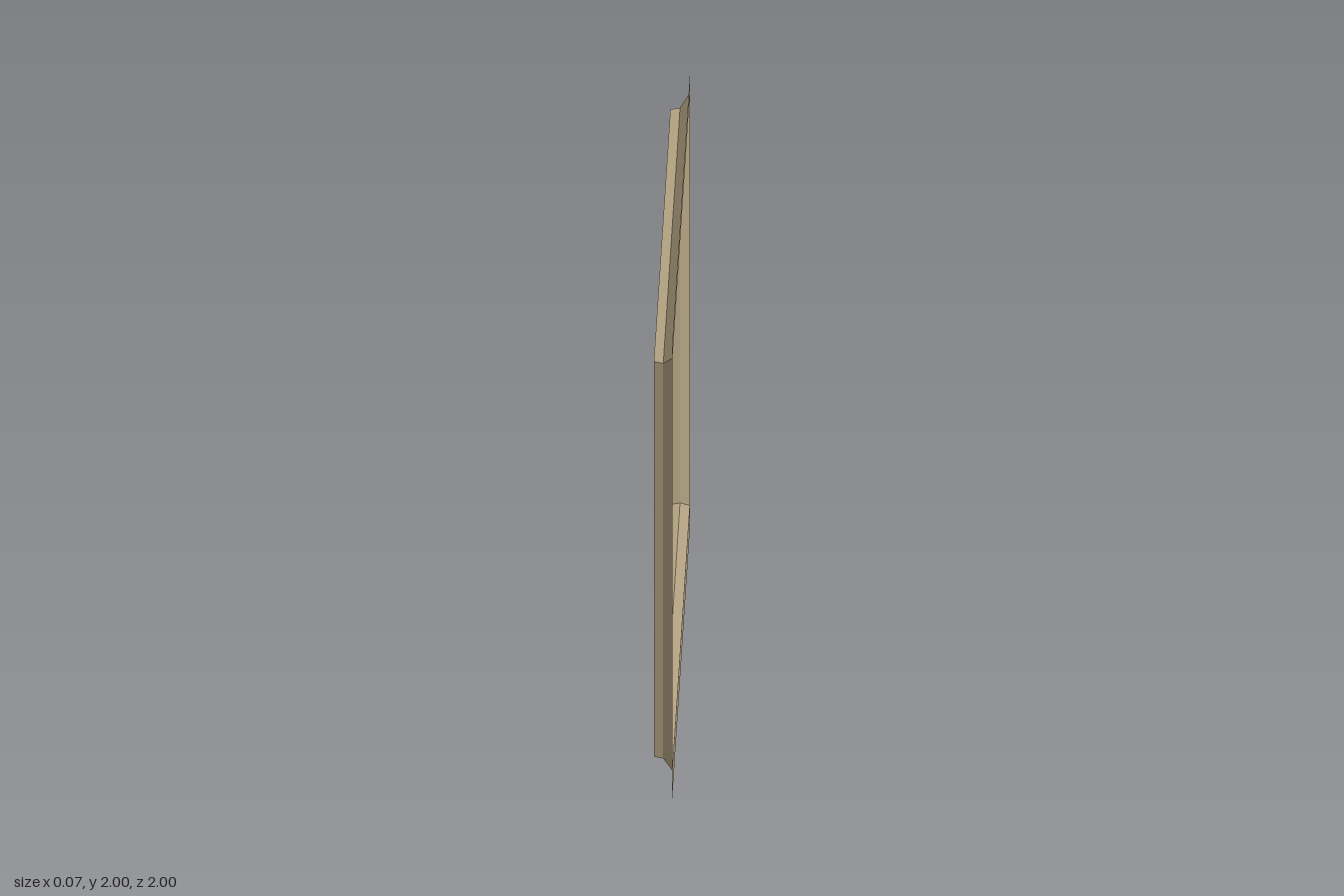
import * as THREE from 'three';

const material = new THREE.MeshStandardMaterial({
  color: 0xb3a382, flatShading: true, side: THREE.DoubleSide,
});

// Rectangular loop in the plane x, counter-clockwise as seen from +x
const loop = (x, y0, y1, z) => [[x, y0, -z], [x, y1, -z], [x, y1, z], [x, y0, z]];

// Mesh made of four-cornered faces
function sheet(name, quads) {
  const points = quads.flatMap(([a, b, c, d]) => [a, b, c, a, c, d]).flat();
  const geometry = new THREE.BufferGeometry();
  geometry.setAttribute('position', new THREE.Float32BufferAttribute(points, 3));
  geometry.computeVertexNormals();
  const mesh = new THREE.Mesh(geometry, material);
  mesh.name = name;
  return mesh;
}

// Band of four mitred faces between an outer and an inner loop
function band(name, outer, inner) {
  return sheet(name, outer.map((p, i) => {
    const j = (i + 1) % 4;
    return [p, outer[j], inner[j], inner[i]];
  }));
}

export function createModel() {
  const group = new THREE.Group();
  group.name = 'recessedPanel';

  const edge = loop(0.036, 0, 2, 1);
  const opening = loop(0.036, 0.103, 1.916, 0.968);
  const step = loop(0, 0.135, 1.871, 0.933);
  const back = loop(-0.036, 0.135, 1.871, 0.92);

  group.add(
    band('flatRim', edge, opening),
    band('bevel', opening, step),
    band('innerWall', step, back),
    sheet('panel', [back]),
  );
  return group;
}
